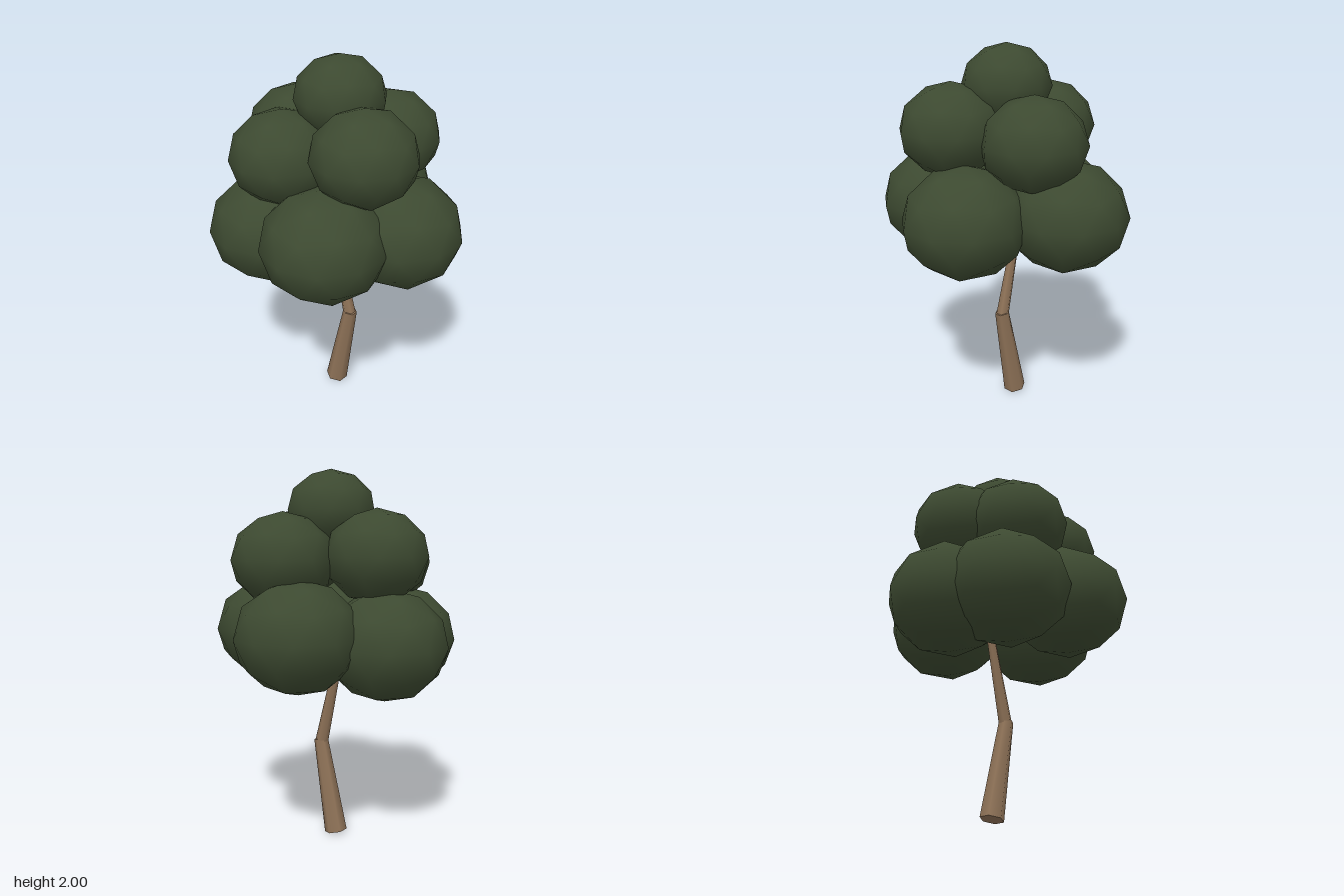
import * as THREE from 'three';

export function createModel() {
  const tree = new THREE.Group();
  tree.name = 'tree';

  const leafGreen = new THREE.MeshStandardMaterial({ color: 0x3d4a31 });
  leafGreen.name = 'leafGreen';
  const barkBrown = new THREE.MeshStandardMaterial({ color: 0x8f7358 });
  barkBrown.name = 'barkBrown';

  // Six-sided tapered limb between two points
  function limb(name, from, to, rFrom, rTo) {
    const a = new THREE.Vector3(...from);
    const b = new THREE.Vector3(...to);
    const axis = b.clone().sub(a);
    const mesh = new THREE.Mesh(
      new THREE.CylinderGeometry(rTo, rFrom, axis.length(), 6), barkBrown);
    mesh.quaternion.setFromUnitVectors(new THREE.Vector3(0, 1, 0), axis.normalize());
    mesh.position.copy(a).add(b).multiplyScalar(0.5);
    mesh.name = name;
    tree.add(mesh);
  }
  limb('lowerTrunk', [-0.047, 0.011, 0], [0.057, 0.53, 0], 0.062, 0.039);
  limb('upperTrunk', [0.052, 0.515, 0], [-0.1, 1.15, 0], 0.036, 0.018);

  // Smooth 80-faced ball with a corner at its pole, shared by all leaf clumps
  const ball = new THREE.IcosahedronGeometry(1, 1);
  ball.rotateZ(-Math.atan(2 / (1 + Math.sqrt(5))));

  const canopy = new THREE.Group();
  canopy.name = 'canopy';
  tree.add(canopy);

  // Slightly flattened leaf clumps: radius, then centres
  const tiers = [
    ['lowerClump', 0.327, [
      [-0.063, 1.15, -0.348], [0.356, 1.143, -0.037], [0.178, 1.155, 0.337],
      [-0.242, 1.095, 0.294], [-0.361, 1.095, 0],
    ]],
    ['upperClump', 0.272, [
      [0.097, 1.532, -0.266], [0.267, 1.575, 0.148],
      [-0.149, 1.512, 0.281], [-0.295, 1.549, 0.01],
    ]],
    ['topClump', 0.237, [[0, 1.787, 0.017]]],
  ];
  for (const [name, r, centres] of tiers) {
    centres.forEach((c, i) => {
      const clump = new THREE.Mesh(ball, leafGreen);
      clump.scale.set(r, r * 0.9, r);
      clump.position.set(...c);
      clump.name = name + (i + 1);
      canopy.add(clump);
    });
  }
  return tree;
}
